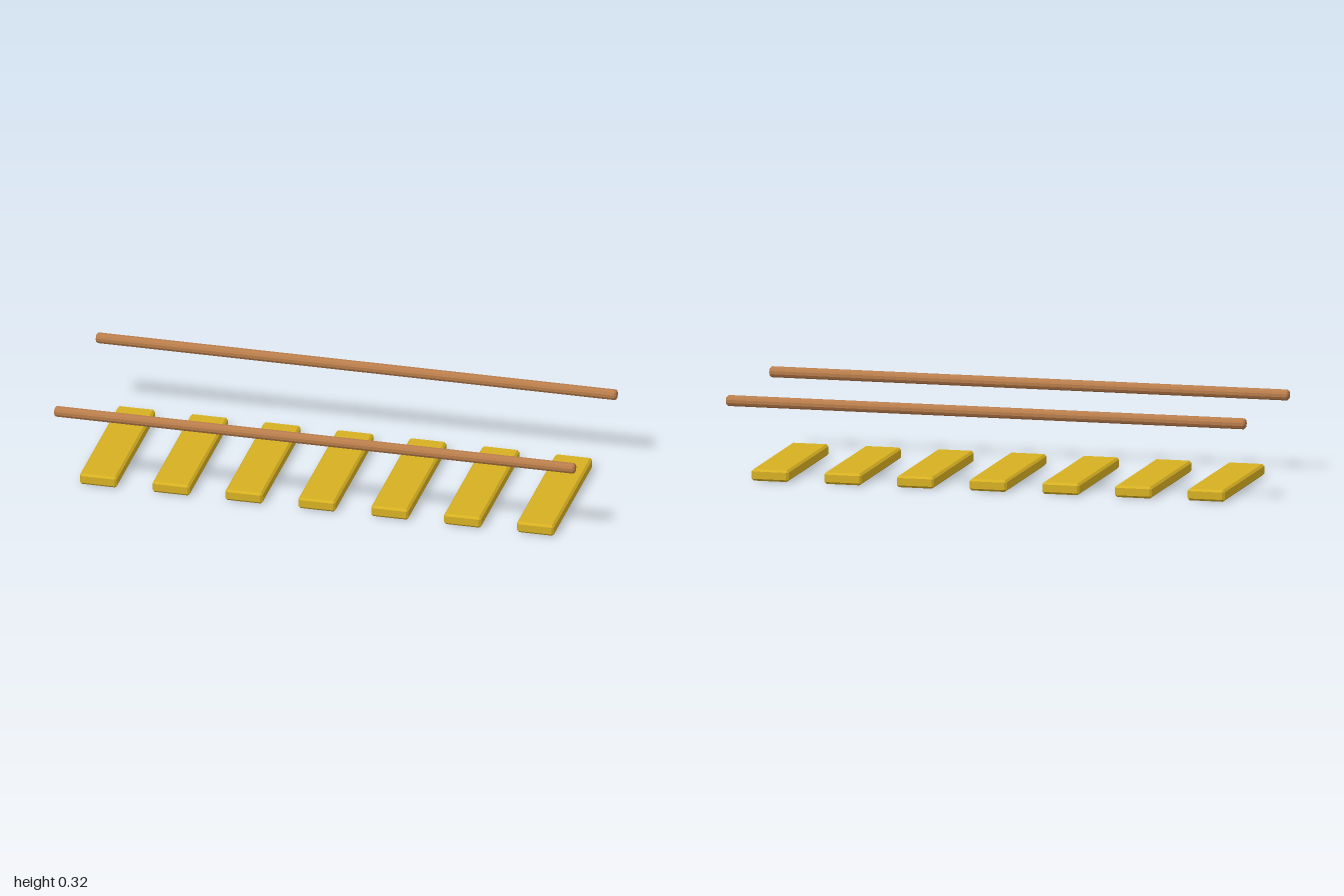
import * as THREE from 'three';
import { ConvexGeometry } from 'three/addons/geometries/ConvexGeometry.js';

const plankMaterial = new THREE.MeshStandardMaterial({ color: 0xd6b022, flatShading: true });
const railMaterial = new THREE.MeshStandardMaterial({ color: 0xb87c4a, flatShading: true });

// Box with every edge cut by a flat bevel
function bevelledBox(w, h, d, bevel) {
  const half = [w / 2, h / 2, d / 2];
  const points = [];
  for (const sx of [-1, 1]) for (const sy of [-1, 1]) for (const sz of [-1, 1]) {
    for (let axis = 0; axis < 3; axis++) {
      const [x, y, z] = half.map((v, i) => (i === axis ? v : v - bevel));
      points.push(new THREE.Vector3(sx * x, sy * y, sz * z));
    }
  }
  return new ConvexGeometry(points);
}

// Six-sided bar along x, with its long edges and ends bevelled
function bevelledBar(length, apothem, bevel) {
  const radius = apothem / Math.cos(Math.PI / 6);
  const capRadius = (apothem - bevel) / Math.cos(Math.PI / 6);
  const halfFlat = radius / 2 - bevel;
  const bodyRadius = Math.hypot(apothem, halfFlat);
  const spread = Math.atan2(halfFlat, apothem);
  const points = [];
  for (const end of [-1, 1]) {
    const add = (x, r, a) => points.push(new THREE.Vector3(end * x, r * Math.sin(a), r * Math.cos(a)));
    for (let i = 0; i < 6; i++) {
      const corner = (i * Math.PI) / 3;
      const flat = corner + Math.PI / 6;
      add(length / 2, capRadius, corner);
      add(length / 2 - bevel, bodyRadius, flat - spread);
      add(length / 2 - bevel, bodyRadius, flat + spread);
    }
  }
  return new ConvexGeometry(points);
}

export function createModel() {
  const model = new THREE.Group();
  model.name = 'footbridge';

  // Row of evenly spaced planks
  const plankGeometry = bevelledBox(0.143, 0.044, 0.6, 0.008);
  for (let i = -3; i <= 3; i++) {
    const plank = new THREE.Mesh(plankGeometry, plankMaterial);
    plank.name = `plank${i + 4}`;
    plank.position.set(i * 0.28, 0.022, 0);
    model.add(plank);
  }

  // Floating handrails, front and back
  const railGeometry = bevelledBar(2, 0.02, 0.0066);
  for (const side of [1, -1]) {
    const rail = new THREE.Mesh(railGeometry, railMaterial);
    rail.name = side > 0 ? 'frontRail' : 'backRail';
    rail.position.set(0, 0.304, side * 0.32);
    model.add(rail);
  }
  return model;
}
